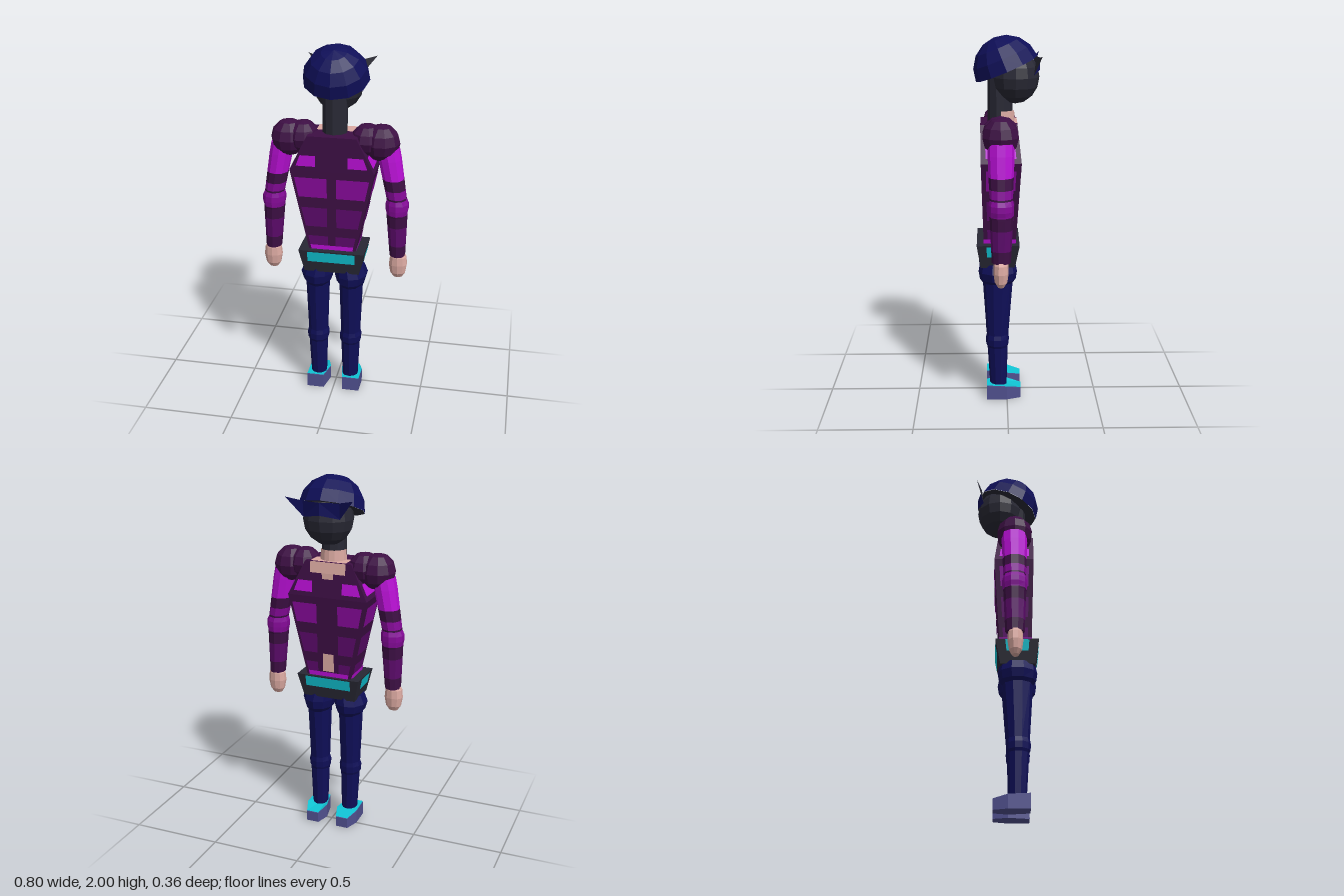
import * as THREE from 'three';

const mat = (name, color) => Object.assign(new THREE.MeshStandardMaterial({ color }), { name });
const M = {
  dark: mat('dark purple', 0x3d0f44),
  plum: mat('plum', 0x5c0a6b),
  purple: mat('purple', 0x860a99),
  magenta: mat('magenta', 0xb80fd4),
  navy: mat('navy', 0x0f0f58),
  charcoal: mat('charcoal', 0x282834),
  skin: mat('skin', 0xdcaaa2),
  cyan: mat('cyan', 0x10c4d4),
  shoe: mat('slate blue', 0x50508e),
};

// Faceted mesh from any geometry
function add(parent, name, geo, material) {
  const flat = geo.index ? geo.toNonIndexed() : geo;
  flat.computeVertexNormals();
  const mesh = new THREE.Mesh(flat, material);
  mesh.name = name;
  parent.add(mesh);
  return mesh;
}

// Horizontal rings run counter-clockwise seen from above, listed bottom to top
const oval = (x, y, z, rx, rz, n = 10) => Array.from({ length: n }, (_, i) => {
  const a = ((i + 0.5) / n) * Math.PI * 2;
  return [x + Math.cos(a) * rx, y, z - Math.sin(a) * rz];
});
const rect = (y, w, z0, z1) => [[w, y, z1], [w, y, z0], [-w, y, z0], [-w, y, z1]];

function fromPolygons(polys) {
  const pos = [];
  for (const p of polys)
    for (let i = 1; i < p.length - 1; i++) pos.push(...p[0], ...p[i], ...p[i + 1]);
  const g = new THREE.BufferGeometry();
  g.setAttribute('position', new THREE.Float32BufferAttribute(pos, 3));
  return g;
}

function loft(rings) {
  const n = rings[0].length;
  const polys = [[...rings[0]].reverse(), rings[rings.length - 1]];
  for (let k = 0; k < rings.length - 1; k++)
    for (let i = 0; i < n; i++) {
      const j = (i + 1) % n;
      polys.push([rings[k][i], rings[k][j], rings[k + 1][j], rings[k + 1][i]]);
    }
  return fromPolygons(polys);
}

// Interpolate rows of numbers keyed by their first entry (height)
function sample(rows, y) {
  let k = 0;
  while (k < rows.length - 2 && y > rows[k + 1][0]) k++;
  const t = (y - rows[k][0]) / (rows[k + 1][0] - rows[k][0]);
  return rows[k].map((v, i) => v + (rows[k + 1][i] - v) * t);
}

// Thin painted panel on a four-sided block whose rows are [y, halfWidth, zMin, zMax]
function panel(parent, name, rows, face, a, b, y0, y1, material) {
  const e = 0.004;
  const corner = (u, y) => {
    const [, w, z0, z1] = sample(rows, y);
    if (face === 'front' || face === 'back') {
      const x = Math.max(-w + 0.015, Math.min(w - 0.015, u));
      return [x, y, face === 'front' ? z1 + e : z0 - e];
    }
    return [face === 'left' ? w + e : -w - e, y, z0 + (z1 - z0) * u];
  };
  const p = [corner(a, y0), corner(b, y0), corner(b, y1), corner(a, y1)];
  if (face === 'back' || face === 'left') p.reverse();
  add(parent, name, fromPolygons([p]), material);
}

function ball(parent, name, material, c, r, ws = 10, hs = 7) {
  const m = add(parent, name, new THREE.SphereGeometry(1, ws, hs).scale(...r), material);
  m.position.set(...c);
  return m;
}

function buildHead(root) {
  const head = new THREE.Group();
  head.name = 'head';
  root.add(head);
  ball(head, 'face', M.charcoal, [0, 1.785, -0.045], [0.135, 0.142, 0.128], 12, 8);
  add(head, 'neck', loft([oval(0, 1.53, 0.035, 0.066, 0.066), oval(0, 1.8, 0.035, 0.066, 0.066)]), M.charcoal);
  const throat = add(head, 'throat', new THREE.CylinderGeometry(0.07, 0.075, 0.1, 8, 1, true, Math.PI / 2, Math.PI), M.skin);
  throat.position.set(0, 1.56, 0.03);

  // Tilted cap with a closed underside
  const cap = new THREE.Group();
  cap.name = 'cap';
  cap.position.set(0, 1.826, 0);
  cap.rotation.x = 0.4;
  head.add(cap);
  add(cap, 'capDome', new THREE.SphereGeometry(0.176, 12, 4, 0, Math.PI * 2, 0, Math.PI / 2), M.navy);
  add(cap, 'capUnderside', new THREE.CircleGeometry(0.174, 12).rotateX(Math.PI / 2), M.charcoal);

  // Brow visor with two swept corner points
  for (const s of [1, -1]) {
    const p = [[0, 1.885, -0.174], [0, 1.82, -0.176], [s * 0.1, 1.8, -0.14], [s * 0.185, 1.905, -0.18], [s * 0.1, 1.885, -0.15]];
    if (s > 0) p.reverse();
    const faces = (q) => [[q[0], q[1], q[2]], [q[0], q[2], q[4]], [q[2], q[3], q[4]]];
    const front = faces(p).map((f) => f);
    const outer = s > 0 ? [[p[4], p[2], p[3]], [p[4], p[0], p[2]], [p[2], p[0], p[1]]] : front;
    add(head, 'visor', fromPolygons(outer), M.navy);
    add(head, 'visorBack', fromPolygons(outer.map((f) => [...f].reverse())), M.charcoal);
  }
}

function buildTorso(root) {
  const torso = new THREE.Group();
  torso.name = 'torso';
  root.add(torso);
  const rows = [[0.88, 0.122, -0.045, 0.125], [1.36, 0.225, -0.075, 0.138], [1.55, 0.13, -0.055, 0.14]];
  add(torso, 'jacket', loft(rows.map((r) => rect(...r))), M.dark);

  // Jacket panels: height range, inner edge, outer edge, colour
  const panels = [
    [0.93, 0.985, 0.02, 0.3, M.plum], [1.04, 1.15, 0.025, 0.18, M.plum],
    [1.21, 1.32, 0.025, 0.2, M.purple], [1.385, 1.445, 0.085, 0.19, M.magenta],
  ];
  for (const [y0, y1, a, b, m] of panels) {
    for (const s of [1, -1]) {
      const [l, r] = s > 0 ? [a, b] : [-b, -a];
      panel(torso, 'rearPanel', rows, 'front', l, r, y0, y1, m);
      const c = Math.max(a, 0.06);
      panel(torso, 'chestPanel', rows, 'back', s > 0 ? c : -b, s > 0 ? b : -c, y0, y1, m);
      panel(torso, 'sidePanel', rows, s > 0 ? 'left' : 'right', 0.12, 0.88, y0, y1, m);
    }
  }
  for (const f of ['front', 'back']) panel(torso, 'hemStripe', rows, f, -0.3, 0.3, 0.9, 0.93, M.magenta);
  for (const f of ['left', 'right']) panel(torso, 'hemStripe', rows, f, 0, 1, 0.9, 0.93, M.magenta);

  // Open jacket showing skin
  panel(torso, 'openChest', rows, 'back', -0.032, 0.032, 0.935, 1.49, M.skin);
  panel(torso, 'openCollar', rows, 'back', -0.1, 0.1, 1.49, 1.55, M.skin);
  add(torso, 'collarTop', fromPolygons([[[-0.1, 1.553, 0.03], [0.1, 1.553, 0.03], [0.1, 1.553, -0.055], [-0.1, 1.553, -0.055]]]), M.skin);

  // Belt
  const belt = [[0.775, 0.15, -0.042, 0.143], [0.905, 0.179, -0.067, 0.163]];
  add(torso, 'belt', loft(belt.map((r) => rect(...r))), M.charcoal);
  for (const f of ['front', 'back']) panel(torso, 'beltPlate', belt, f, -0.13, 0.13, 0.84, 0.9, M.cyan);
  for (const f of ['left', 'right']) panel(torso, 'beltPlate', belt, f, 0.22, 0.78, 0.84, 0.9, M.cyan);
}

function buildArm(root, s) {
  const arm = new THREE.Group();
  arm.name = s > 0 ? 'leftArm' : 'rightArm';
  root.add(arm);
  ball(arm, 'shoulderPad', M.dark, [s * 0.247, 1.505, 0.035], [0.097, 0.099, 0.098], 10, 6);
  ball(arm, 'innerShoulder', M.dark, [s * 0.17, 1.517, 0.035], [0.085, 0.085, 0.097], 10, 6);

  // Sleeve bands; rows are [y, x, radiusX, radiusZ]
  const rows = [
    [0.865, 0.345, 0.043, 0.05], [1.1, 0.337, 0.057, 0.06], [1.115, 0.337, 0.057, 0.064],
    [1.14, 0.337, 0.063, 0.066], [1.17, 0.336, 0.063, 0.066], [1.195, 0.333, 0.054, 0.06],
    [1.42, 0.292, 0.062, 0.069], [1.48, 0.28, 0.062, 0.069],
  ];
  const bands = [
    [0.865, 0.93, M.dark], [0.93, 1.04, M.plum], [1.04, 1.11, M.dark], [1.11, 1.195, M.purple],
    [1.195, 1.205, M.dark], [1.205, 1.25, M.purple], [1.25, 1.31, M.dark], [1.31, 1.48, M.magenta],
  ];
  for (const [y0, y1, m] of bands) {
    const ys = [y0, ...rows.map((r) => r[0]).filter((y) => y > y0 && y < y1), y1];
    add(arm, 'sleeve', loft(ys.map((v) => {
      const [y, x, rx, rz] = sample(rows, v);
      return oval(s * x, y, 0.033, rx, rz);
    })), m);
  }
  add(arm, 'hand', loft([[0.735, 0.025, 0.018], [0.76, 0.042, 0.033], [0.81, 0.051, 0.04], [0.855, 0.046, 0.039], [0.875, 0.036, 0.034]]
    .map(([y, rx, rz]) => oval(s * 0.35, y, 0.035, rx, rz))), M.skin);
}

function buildLeg(root, s) {
  const leg = new THREE.Group();
  leg.name = s > 0 ? 'leftLeg' : 'rightLeg';
  root.add(leg);
  // Rows are [y, x, z, radiusX, radiusZ]
  const hip = [[0.67, 0.093, 0.05, 0.06, 0.08], [0.695, 0.093, 0.05, 0.08, 0.098], [0.74, 0.094, 0.05, 0.092, 0.105], [0.79, 0.085, 0.05, 0.082, 0.095]];
  const shin = [
    [0.07, 0.091, 0.048, 0.044, 0.046], [0.3, 0.093, 0.052, 0.053, 0.056], [0.315, 0.093, 0.053, 0.06, 0.062],
    [0.35, 0.093, 0.053, 0.062, 0.064], [0.375, 0.093, 0.052, 0.055, 0.06], [0.7, 0.094, 0.05, 0.066, 0.083],
  ];
  const ring = ([y, x, z, rx, rz]) => oval(s * x, y, z, rx, rz);
  add(leg, 'hip', loft(hip.map(ring)), M.navy);
  add(leg, 'trouserLeg', loft(shin.map(ring)), M.navy);

  // Shoe: tapered outline with a top sloping to the toe
  const outline = [[0.055, 0.112], [0.15, 0.112], [0.152, 0], [0.125, -0.077], [0.055, -0.077], [0.032, 0]];
  const level = (f) => {
    const r = outline.map(([x, z]) => [s * x, f(z), z]);
    return s > 0 ? r : r.reverse();
  };
  const top = (z) => 0.058 + (0.022 * Math.min(1, (z + 0.077) / 0.1));
  add(leg, 'shoe', loft([level(() => 0), level(top)]), M.shoe);
  add(leg, 'shoeTop', fromPolygons([level((z) => top(z) + 0.004)]), M.cyan);
}

export function createModel() {
  const root = new THREE.Group();
  root.name = 'figure';
  buildHead(root);
  buildTorso(root);
  for (const s of [1, -1]) {
    buildArm(root, s);
    buildLeg(root, s);
  }
  return root;
}
